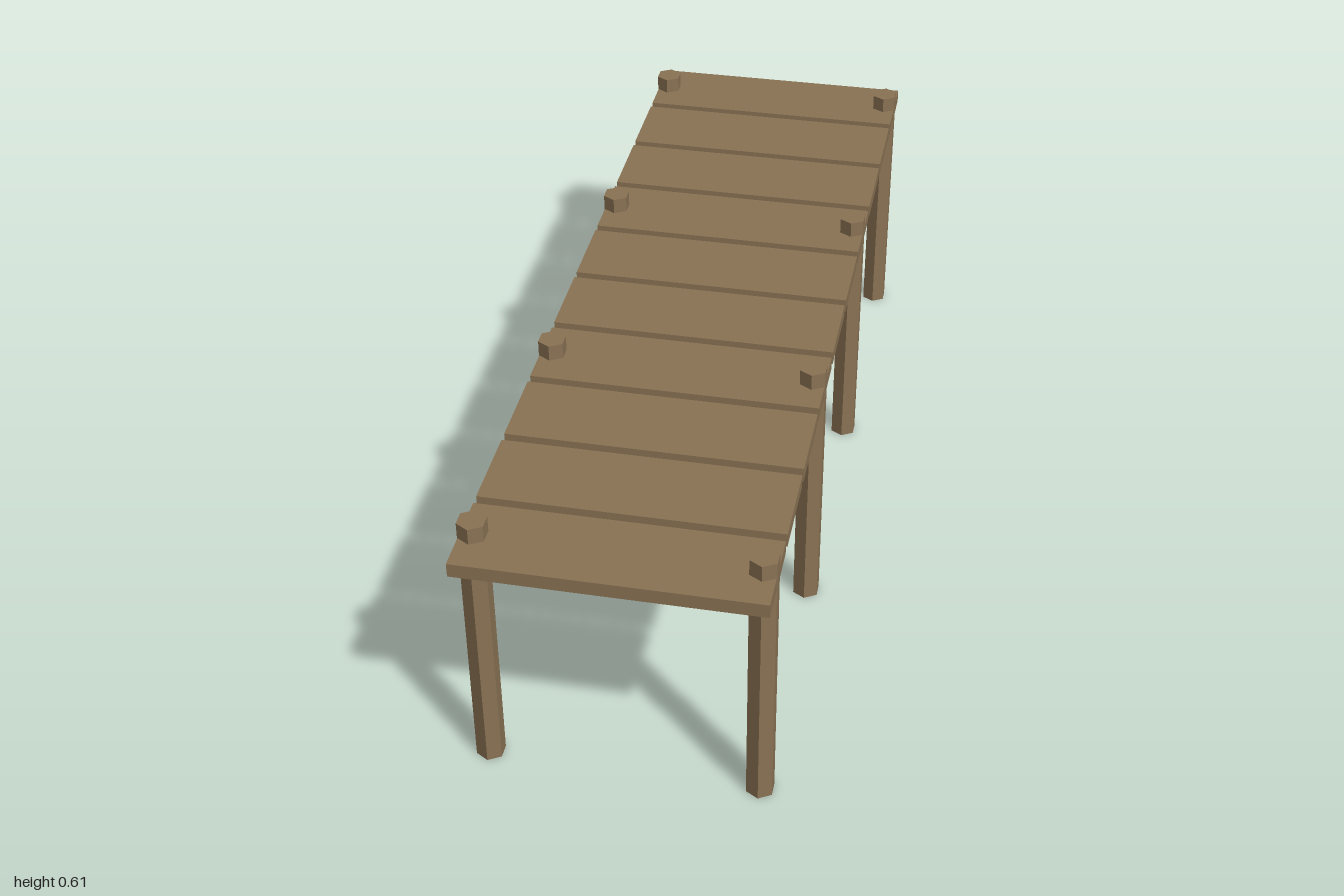
import * as THREE from 'three';

export function createModel() {
  const group = new THREE.Group();
  const wood = new THREE.MeshStandardMaterial({ color: 0x8b7355 });
  wood.name = 'weathered wood';

  // Deck: ten planks with narrow gaps
  const deck = new THREE.Group();
  deck.name = 'deck';
  const plankGeometry = new THREE.BoxGeometry(0.606, 0.0303, 0.1818);
  for (let i = 0; i < 10; i++) {
    const plank = new THREE.Mesh(plankGeometry, wood);
    plank.name = 'plank';
    plank.position.set(0, 0.5556, (i - 4.5) * 0.202);
    deck.add(plank);
  }
  group.add(deck);

  // Posts: four mirrored pairs of hexagonal piles rising through the deck
  const posts = new THREE.Group();
  posts.name = 'posts';
  const postHeight = 0.606;
  const postGeometry = new THREE.CylinderGeometry(0.0303, 0.0303, postHeight, 6).toNonIndexed();
  postGeometry.computeVertexNormals(); // crisp facets
  for (const z of [-0.909, -0.303, 0.303, 0.909]) {
    for (const side of [-1, 1]) {
      const post = new THREE.Mesh(postGeometry, wood);
      post.name = side > 0 ? 'leftPost' : 'rightPost';
      post.position.set(side * 0.2778, postHeight / 2, z);
      posts.add(post);
    }
  }
  group.add(posts);

  return group;
}
